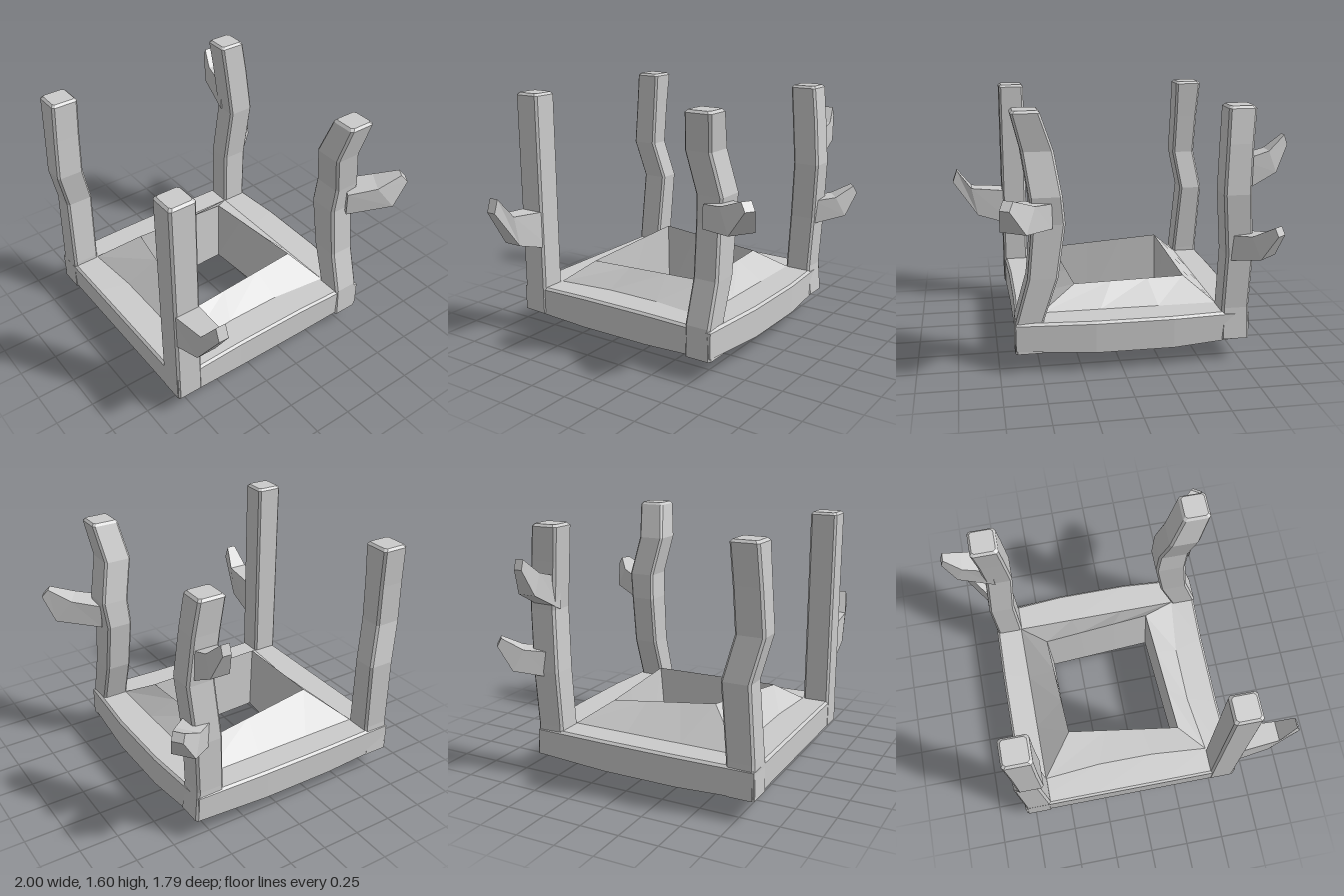
import * as THREE from 'three';

const material = new THREE.MeshStandardMaterial({ color: 0xcccccc, flatShading: true });

// Skins a row of rings; each ring runs counter-clockwise around the direction of travel.
function loft(name, rings, closed = false) {
  const n = rings[0].length;
  const index = [];
  const count = closed ? rings.length : rings.length - 1;
  for (let i = 0; i < count; i++) {
    const a = i * n, b = ((i + 1) % rings.length) * n;
    for (let j = 0; j < n; j++) {
      const k = (j + 1) % n;
      index.push(a + j, a + k, b + k, a + j, b + k, b + j);
    }
  }
  if (!closed) {
    const last = (rings.length - 1) * n;
    for (let j = 1; j < n - 1; j++) {
      index.push(0, j + 1, j, last, last + j, last + j + 1);
    }
  }
  const indexed = new THREE.BufferGeometry();
  indexed.setAttribute('position', new THREE.Float32BufferAttribute(rings.flat(2), 3));
  indexed.setIndex(index);
  const geometry = indexed.toNonIndexed();
  geometry.computeVertexNormals();
  const mesh = new THREE.Mesh(geometry, material);
  mesh.name = name;
  return mesh;
}

// Four-sided plan loop, each side in three pieces that bow outward and sag downward.
// Corners [x, y, z] run front left edge, front right edge, back right, back left.
function planLoop(corners, bow = [0, 0, 0, 0], sag = [0, 0, 0, 0]) {
  const outward = [[0, 1], [1, 0], [0, -1], [-1, 0]];
  const ring = [];
  corners.forEach((c, side) => {
    const next = corners[(side + 1) % 4];
    for (let k = 0; k < 3; k++) {
      const t = k / 3, bend = k ? 1 : 0;
      ring.push([
        c[0] + (next[0] - c[0]) * t + outward[side][0] * bow[side] * bend,
        c[1] + (next[1] - c[1]) * t - sag[side] * bend,
        c[2] + (next[2] - c[2]) * t + outward[side][1] * bow[side] * bend,
      ]);
    }
  });
  return ring;
}

const rect = (x0, x1, z0, z1, y) => [[x0, y, z1], [x1, y, z1], [x1, y, z0], [x0, y, z0]];

// Beams around the base, with the faceted collar rising and dropping to a central opening.
function baseFrame() {
  const outerBow = [0, -0.015, 0.035, 0.01];
  const innerBow = [-0.03, -0.045, 0, 0];
  const sag = [0, 0.03, 0.025, 0.02];
  return loft('baseFrame', [
    planLoop(rect(-0.8, 0.65, -0.6, 0.855, 0.15), outerBow, sag),
    planLoop(rect(-0.8, 0.65, -0.6, 0.855, 0.31), outerBow),
    planLoop(rect(-0.785, 0.635, -0.585, 0.84, 0.325), outerBow),
    planLoop(rect(-0.63, 0.48, -0.43, 0.68, 0.325), innerBow),
    planLoop([[-0.42, 0.53, 0.44], [0.31, 0.45, 0.53], [0.26, 0.46, -0.31], [-0.46, 0.455, -0.25]]),
    planLoop([[-0.43, 0, 0.44], [0.31, 0, 0.52], [0.26, 0.01, -0.27], [-0.44, 0.01, -0.23]]),
    planLoop(rect(-0.63, 0.48, -0.43, 0.68, 0.15), innerBow, sag),
  ], true);
}

// Square post with narrow bevels; sections are [y, centre x, centre z, half x, half z].
function post(name, sections) {
  const [y, x, z, hx, hz] = sections[sections.length - 1];
  const all = [...sections.slice(0, -1), [y - 0.015, x, z, hx, hz], [y, x, z, hx - 0.014, hz - 0.014]];
  const b = 0.014;
  return loft(name, all.map(([py, cx, cz, w, d]) => [
    [-w + b, d], [w - b, d], [w, d - b], [w, -d + b],
    [w - b, -d], [-w + b, -d], [-w, -d + b], [-w, d - b],
  ].map(([px, pz]) => [cx + px, py, cz + pz])));
}

// Branch stub from a start point toward an end point in plan.
// Sections are [bottom reach, bottom y, top reach, top y, half width].
function branch(name, [x0, z0], [x1, z1], sections) {
  const length = Math.hypot(x1 - x0, z1 - z0);
  const dx = (x1 - x0) / length, dz = (z1 - z0) / length;
  return loft(name, sections.map(([rb, yb, rt, yt, w]) =>
    [[rb, yb, -w], [rb, yb, w], [rt, yt, w], [rt, yt, -w]].map(([r, y, s]) =>
      [x0 + dx * r + dz * s, y, z0 + dz * r - dx * s])));
}

export function createModel() {
  const model = new THREE.Group();
  model.name = 'branchPostFrame';
  model.add(baseFrame());

  // Corner posts
  model.add(post('frontLeftPost', [
    [0.15, 0.567, 0.77, 0.085, 0.087],
    [1.6, 0.567, 0.77, 0.085, 0.087],
  ]));
  model.add(post('frontRightPost', [
    [0.14, -0.715, 0.77, 0.09, 0.09],
    [0.35, -0.71, 0.765, 0.085, 0.088],
    [0.82, -0.74, 0.74, 0.078, 0.09],
    [1.08, -0.695, 0.8, 0.078, 0.09],
    [1.35, -0.705, 0.785, 0.08, 0.088],
    [1.6, -0.715, 0.77, 0.088, 0.087],
  ]));
  model.add(post('backLeftPost', [
    [0.13, 0.567, -0.51, 0.088, 0.09],
    [0.33, 0.563, -0.505, 0.085, 0.086],
    [0.6, 0.48, -0.51, 0.092, 0.085],
    [0.93, 0.44, -0.505, 0.1, 0.085],
    [1.1, 0.455, -0.52, 0.098, 0.09],
    [1.36, 0.495, -0.465, 0.095, 0.09],
    [1.6, 0.562, -0.5, 0.085, 0.088],
  ]));
  model.add(post('backRightPost', [
    [0.15, -0.71, -0.52, 0.09, 0.1],
    [0.35, -0.71, -0.515, 0.085, 0.088],
    [0.7, -0.72, -0.53, 0.085, 0.09],
    [1.08, -0.685, -0.56, 0.085, 0.09],
    [1.38, -0.7, -0.53, 0.083, 0.09],
    [1.6, -0.715, -0.505, 0.085, 0.087],
  ]));

  // Branch stubs
  model.add(branch('frontLeftBranch', [0.57, 0.77], [1, 0.77], [
    [0, 0.58, 0, 0.835, 0.085], [0.26, 0.66, 0.3, 0.86, 0.063], [0.43, 0.905, 0.4, 0.99, 0.032],
  ]));
  model.add(branch('backLeftBranch', [0.5, -0.55], [0.705, -0.875], [
    [0, 0.91, 0, 1.06, 0.095], [0.3, 0.95, 0.19, 1.09, 0.085], [0.39, 1.1, 0.345, 1.15, 0.032],
  ]));
  model.add(branch('upperBackRightBranch', [-0.71, -0.535], [-1, -0.545], [
    [0, 1.08, 0, 1.28, 0.075], [0.22, 1.2, 0.17, 1.33, 0.06], [0.29, 1.36, 0.27, 1.42, 0.027],
  ]));
  model.add(branch('lowerBackRightBranch', [-0.72, -0.56], [-0.91, -0.8], [
    [0, 0.66, 0, 0.82, 0.08], [0.22, 0.71, 0.15, 0.84, 0.075], [0.306, 0.86, 0.28, 0.91, 0.036],
  ]));
  return model;
}
